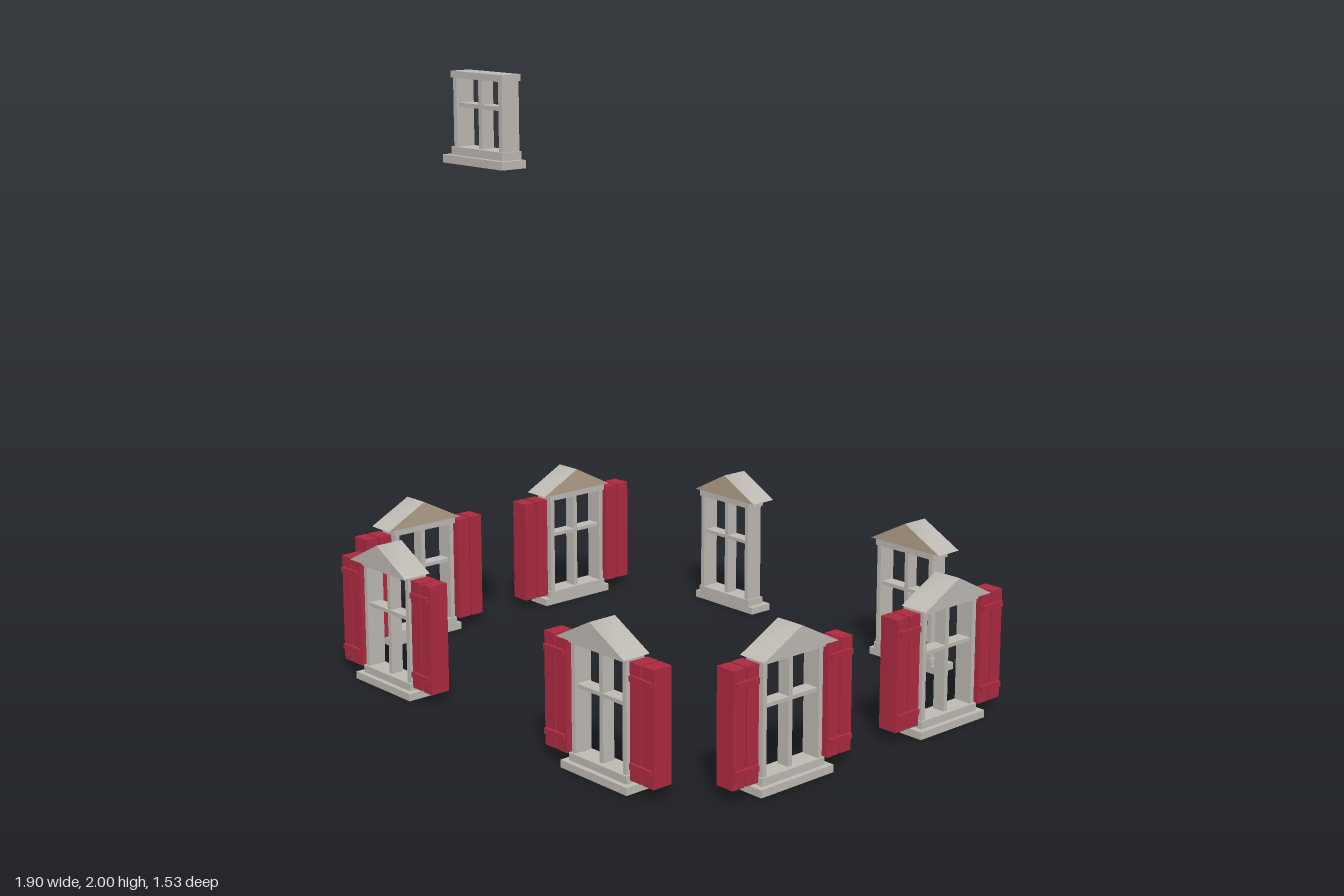
import * as THREE from 'three';

const stone = new THREE.MeshStandardMaterial({ color: 0xbfbab4, name: 'stone' });
const red = new THREE.MeshStandardMaterial({ color: 0xae2a40, name: 'shutterRed' });
const tan = new THREE.MeshStandardMaterial({ color: 0xb3a189, name: 'gableTan' });

// Box given by its min and max on each axis
function box(parent, name, mat, x0, x1, y0, y1, z0, z1) {
  const mesh = new THREE.Mesh(new THREE.BoxGeometry(x1 - x0, y1 - y0, z1 - z0), mat);
  mesh.position.set((x0 + x1) / 2, (y0 + y1) / 2, (z0 + z1) / 2);
  mesh.name = name;
  parent.add(mesh);
}

// Frame, sill and glazing bars; z = 0 is the wall side, +z is outdoors
function frame(g, half, top, barY) {
  box(g, 'sill', stone, -half - 0.02, half + 0.02, 0, 0.024, 0, 0.087);
  box(g, 'bottomRail', stone, -half, half, 0.024, 0.048, 0, 0.07);
  box(g, 'topRail', stone, -half, half, top - 0.02, top, 0, 0.068);
  for (const s of [-1, 1]) {
    const a = s * (half - 0.006), b = s * (half - 0.022);
    box(g, 'jamb', stone, Math.min(a, b), Math.max(a, b), 0.048, top - 0.02, 0.002, 0.064);
  }
  box(g, 'verticalBar', stone, -0.008, 0.008, 0.048, top - 0.02, 0.012, 0.054);
  box(g, 'crossBar', stone, -half + 0.022, half - 0.022, barY - 0.006, barY + 0.006, 0.01, 0.056);
}

// Gabled hood with a smooth ridge and a tan face on the wall side
function pediment(g) {
  const w = 0.15, y0 = 0.405, y1 = 0.483, d = 0.097;
  const roof = new THREE.BufferGeometry();
  roof.setAttribute('position', new THREE.Float32BufferAttribute([
    -w, y0, 0, -w, y0, d, 0, y1, 0, 0, y1, d, w, y0, 0, w, y0, d], 3));
  roof.setIndex([0, 1, 3, 0, 3, 2, 2, 3, 5, 2, 5, 4]);
  roof.computeVertexNormals();
  const roofMesh = new THREE.Mesh(roof, stone);
  roofMesh.name = 'pedimentRoof';

  const triangle = new THREE.ShapeGeometry(new THREE.Shape([
    new THREE.Vector2(-w, y0), new THREE.Vector2(w, y0), new THREE.Vector2(0, y1)]));
  const front = new THREE.Mesh(triangle, stone);
  front.position.z = d;
  front.name = 'pedimentFront';
  const back = new THREE.Mesh(triangle, tan);
  back.rotation.y = Math.PI;
  back.name = 'pedimentBack';

  const soffit = new THREE.Mesh(new THREE.PlaneGeometry(2 * w, d), stone);
  soffit.rotation.x = Math.PI / 2;
  soffit.position.set(0, y0, d / 2);
  soffit.name = 'pedimentSoffit';
  g.add(roofMesh, front, back, soffit);
}

// Two planks joined by two battens
function shutter(side) {
  const g = new THREE.Group();
  g.name = side > 0 ? 'leftShutter' : 'rightShutter';
  g.position.x = side * 0.19;
  box(g, 'plank', red, -0.05, -0.004, 0.04, 0.394, 0, 0.067);
  box(g, 'plank', red, 0.004, 0.05, 0.04, 0.394, 0, 0.067);
  for (const y of [0.087, 0.348]) {
    box(g, 'batten', red, -0.044, 0.044, y - 0.009, y + 0.009, 0.05, 0.077);
  }
  return g;
}

function houseWindow(name, x, z, turn, shutters) {
  const g = new THREE.Group();
  g.name = name;
  frame(g, 0.127, 0.405, 0.256);
  pediment(g);
  if (shutters) g.add(shutter(1), shutter(-1));
  g.position.set(x, 0, z);
  g.rotation.y = turn;
  return g;
}

export function createModel() {
  const model = new THREE.Group();
  model.name = 'windowSet';
  for (const s of [-1, 1]) {
    model.add(houseWindow('frontWindow', s * 0.522, 0.669, 0, true));
    model.add(houseWindow('backWindow', s * 0.43, -0.669, Math.PI, false));
    for (const z of [-0.338, 0.338]) {
      model.add(houseWindow('sideWindow', s * 0.851, z, s * Math.PI / 2, true));
    }
  }
  // Small attic window high above the front
  const attic = new THREE.Group();
  attic.name = 'atticWindow';
  frame(attic, 0.12, 0.268, 0.17);
  attic.position.set(0, 1.732, 0.669);
  model.add(attic);
  return model;
}
